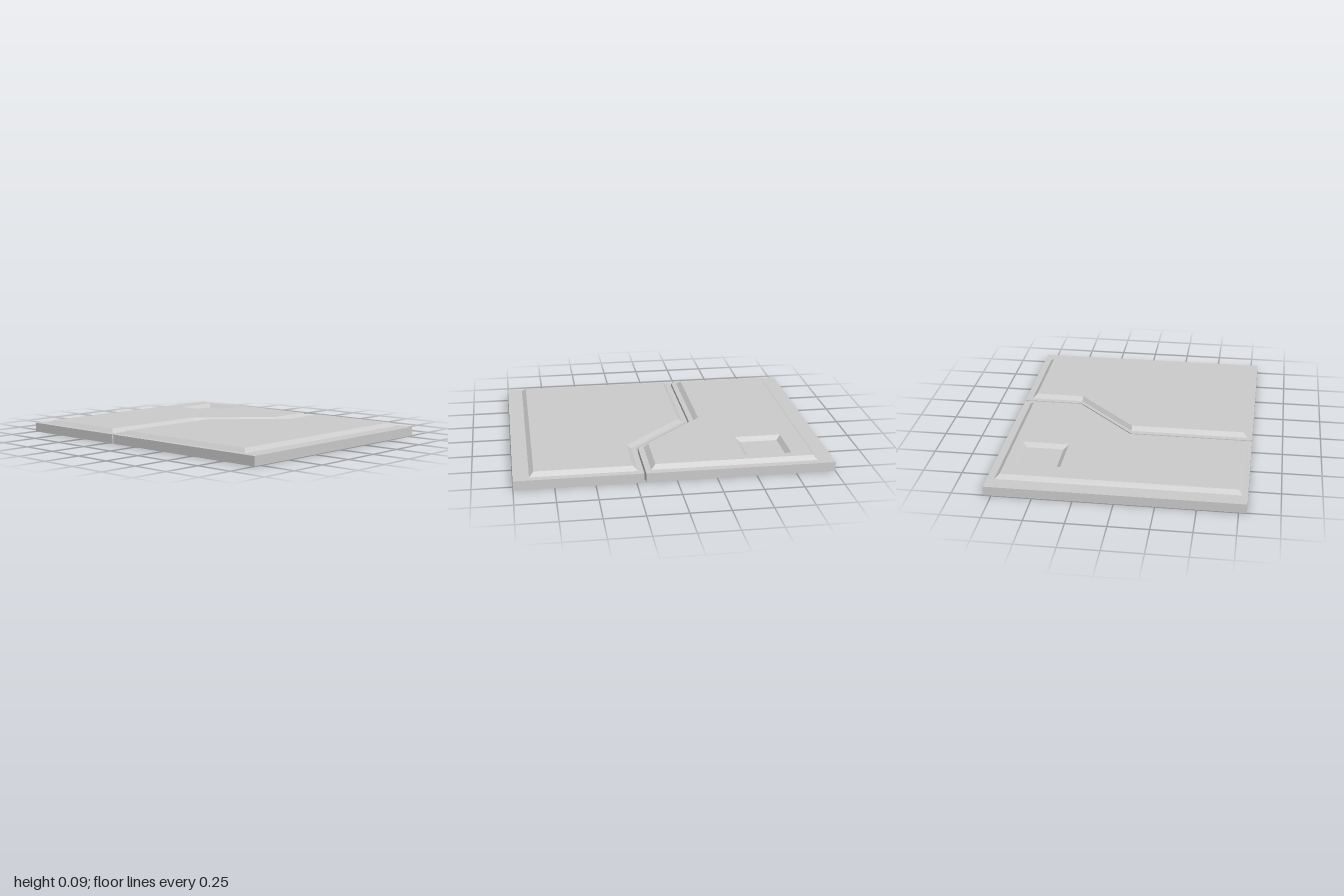
import * as THREE from 'three';
import { mergeGeometries } from 'three/addons/utils/BufferGeometryUtils.js';

const BASE_Y = 0.06, TOP_Y = 0.085;
const material = new THREE.MeshStandardMaterial({ color: 0xcccccc, flatShading: true });

// Outlines are [x, z] points, counter-clockwise seen from above.
const toPoints = (outline) => outline.map(([x, z]) => new THREE.Vector2(x, -z));

function plate(outline, name) {
  const geometry = new THREE.ExtrudeGeometry(new THREE.Shape(toPoints(outline)), { depth: BASE_Y, bevelEnabled: false });
  geometry.rotateX(-Math.PI / 2);
  const mesh = new THREE.Mesh(geometry, material);
  mesh.name = name;
  return mesh;
}

// Sloping walls between a lower and an upper outline
function slopes(lower, upper) {
  const positions = [];
  lower.forEach((a, i) => {
    const j = (i + 1) % lower.length;
    const [b, c, d] = [lower[j], upper[j], upper[i]];
    const low = ([x, z]) => [x, BASE_Y, z], high = ([x, z]) => [x, TOP_Y, z];
    positions.push(...low(a), ...low(b), ...high(c), ...low(a), ...high(c), ...high(d));
  });
  const geometry = new THREE.BufferGeometry();
  geometry.setAttribute('position', new THREE.Float32BufferAttribute(positions, 3));
  geometry.computeVertexNormals();
  return geometry;
}

// Raised panel with bevelled rim and an optional sunken pocket
function panel(lower, upper, name, pocket) {
  const shape = new THREE.Shape(toPoints(upper));
  const parts = [slopes(lower, upper)];
  if (pocket) {
    shape.holes.push(new THREE.Path(toPoints(pocket.rim)));
    parts.push(slopes(pocket.floor, pocket.rim));
  }
  const top = new THREE.ShapeGeometry(shape).rotateX(-Math.PI / 2).translate(0, TOP_Y, 0).toNonIndexed();
  top.deleteAttribute('uv');
  parts.push(top);
  const mesh = new THREE.Mesh(mergeGeometries(parts), material);
  mesh.name = name;
  return mesh;
}

// Clockwise rectangle, so that pocket walls face inward
const pocketLoop = (x0, x1, z0, z1) => [[x0, z0], [x1, z0], [x1, z1], [x0, z1]];

// Stepped outlines: straight, diagonal, straight along the seam
const backOutline = (x0, x1, zBack, zLeft, zRight, xa, xb) =>
  [[x0, zLeft], [xa, zLeft], [xb, zRight], [x1, zRight], [x1, zBack], [x0, zBack]];
const frontOutline = (x0, x1, zFront, zLeft, zRight, xa, xb) =>
  [[x0, zFront], [x1, zFront], [x1, zRight], [xb, zRight], [xa, zLeft], [x0, zLeft]];

export function createModel() {
  const model = new THREE.Group();
  model.name = 'twoPartPanel';

  const back = new THREE.Group();
  back.name = 'backHalf';
  back.add(
    plate(backOutline(-0.8, 0.8, -1, -0.208, 0.192, 0, 0.4), 'backPlate'),
    panel(
      backOutline(-0.768, 0.752, -0.9, -0.243, 0.155, -0.01, 0.392),
      backOutline(-0.74, 0.723, -0.875, -0.272, 0.125, -0.005, 0.398),
      'backRaisedPanel',
      { rim: pocketLoop(0.37, 0.67, -0.748, -0.448), floor: pocketLoop(0.4, 0.642, -0.72, -0.476) }
    )
  );

  const front = new THREE.Group();
  front.name = 'frontHalf';
  front.add(
    plate(frontOutline(-0.8, 0.8, 1, -0.198, 0.202, 0, 0.4), 'frontPlate'),
    panel(
      frontOutline(-0.766, 0.756, 0.9, -0.163, 0.237, 0, 0.4),
      frontOutline(-0.74, 0.727, 0.872, -0.135, 0.266, 0, 0.4),
      'frontRaisedPanel'
    )
  );

  model.add(back, front);
  return model;
}
